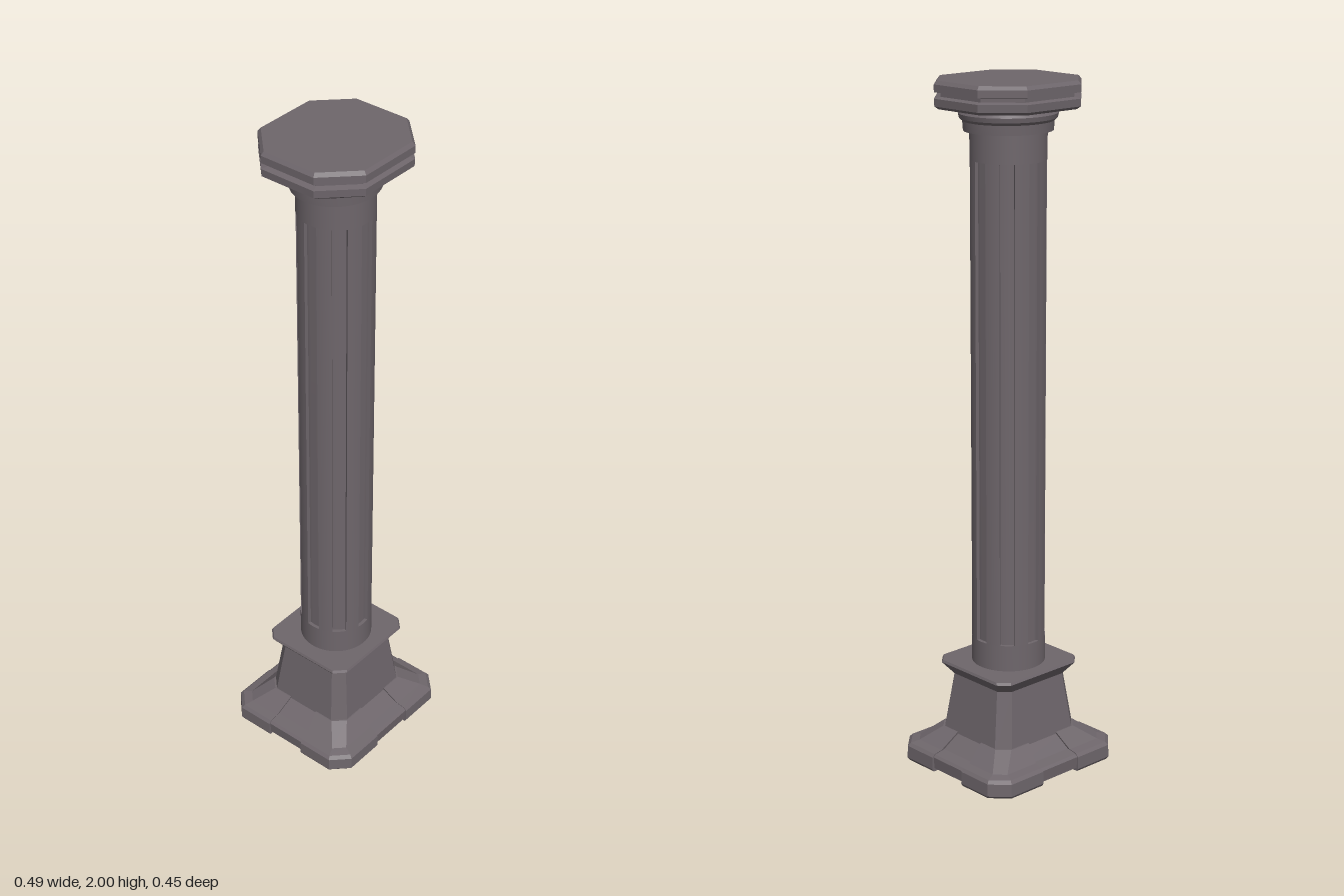
import * as THREE from 'three';
import { toCreasedNormals } from 'three/addons/utils/BufferGeometryUtils.js';

// Rectangle with cut corners, as [x, z] points
function cutRect(hx, hz, c) {
  return [[hx - c, hz], [hx, hz - c], [hx, c - hz], [hx - c, -hz],
    [c - hx, -hz], [-hx, c - hz], [-hx, hz - c], [c - hx, hz]];
}

// Closed, flat-faced solid through levels of [y, points]
function loft(levels) {
  const first = levels[0][1];
  const area = first.reduce((s, p, i) => {
    const q = first[(i + 1) % first.length];
    return s + p[1] * q[0] - p[0] * q[1];
  }, 0);
  const rings = levels.map(([y, pts]) => {
    const ring = pts.map(([x, z]) => new THREE.Vector3(x, y, z));
    return area < 0 ? ring.reverse() : ring;
  });
  const n = first.length, tris = [];
  const centre = (ring) => ring.reduce((s, p) => s.add(p), new THREE.Vector3()).divideScalar(n);
  const low = rings[0], high = rings[rings.length - 1];
  const lowMid = centre(low), highMid = centre(high);
  for (let i = 0; i < n; i++) {
    const j = (i + 1) % n;
    for (let k = 0; k < rings.length - 1; k++) {
      const a = rings[k], b = rings[k + 1];
      tris.push(a[i], a[j], b[j], a[i], b[j], b[i]);
    }
    tris.push(lowMid, low[j], low[i], highMid, high[i], high[j]);
  }
  const geometry = new THREE.BufferGeometry().setFromPoints(tris);
  geometry.computeVertexNormals();
  return geometry;
}

export function createModel() {
  const model = new THREE.Group();
  model.name = 'column';
  const stone = new THREE.MeshStandardMaterial({ color: 0x6e666b });
  stone.name = 'grey stone';
  const add = (name, geometry, parent = model) => {
    const mesh = new THREE.Mesh(geometry, stone);
    mesh.name = name;
    parent.add(mesh);
    return mesh;
  };

  // Plinth core, seen between the corner blocks
  add('plinth', loft([
    [0.01, cutRect(0.236, 0.217, 0.05)],
    [0.045, cutRect(0.239, 0.22, 0.05)],
    [0.052, cutRect(0.232, 0.213, 0.05)],
    [0.06, cutRect(0.2, 0.182, 0.05)],
    [0.1, cutRect(0.153, 0.142, 0.035)],
  ]));

  // Four proud corner blocks
  const corners = new THREE.Group();
  corners.name = 'cornerBlocks';
  model.add(corners);
  const blockLevels = [
    // y, half width, half depth, corner cut, inner x, inner z
    [0, 0.239, 0.219, 0.048, 0.07, 0.063],
    [0.008, 0.244, 0.224, 0.048, 0.07, 0.063],
    [0.045, 0.243, 0.223, 0.048, 0.07, 0.063],
    [0.054, 0.235, 0.215, 0.045, 0.07, 0.063],
    [0.06, 0.21, 0.19, 0.03, 0.068, 0.061],
    [0.104, 0.157, 0.146, 0.033, 0.055, 0.05],
  ];
  for (const sx of [-1, 1]) for (const sz of [-1, 1]) {
    add('cornerBlock', loft(blockLevels.map(([y, hx, hz, c, ix, iz]) => [y,
      [[ix, iz], [hx, iz], [hx, hz - c], [hx - c, hz], [ix, hz]]
        .map(([x, z]) => [x * sx, z * sz])])), corners);
  }

  // Tapered pedestal with a flared rim
  add('pedestal', loft([
    [0.09, cutRect(0.156, 0.145, 0.035)],
    [0.27, cutRect(0.13, 0.122, 0.03)],
    [0.305, cutRect(0.157, 0.148, 0.03)],
    [0.312, cutRect(0.154, 0.145, 0.03)],
  ]));

  // Plain shaft ends
  const R = 0.107;
  for (const [name, y0, y1] of [['shaftFoot', 0.3, 0.39], ['shaftTop', 1.78, 1.9]]) {
    add(name, new THREE.CylinderGeometry(R, R, y1 - y0, 64)).position.y = (y0 + y1) / 2;
  }

  // Fluted shaft: eight shallow grooves
  const outline = [];
  const step = Math.PI / 4, half = step / 4;
  for (let i = 0; i < 8; i++) {
    for (const [from, to, r] of [[-half, half, R - 0.01], [half, step - half, R]]) {
      for (let k = 0; k <= 4; k++) {
        const a = i * step + from + (to - from) * k / 4;
        outline.push(new THREE.Vector2(Math.cos(a) * r, Math.sin(a) * r));
      }
    }
  }
  const fluted = new THREE.ExtrudeGeometry(new THREE.Shape(outline), { depth: 1.39, bevelEnabled: false });
  fluted.rotateX(-Math.PI / 2).translate(0, 0.39, 0);
  add('flutedShaft', toCreasedNormals(fluted, 0.5));

  // Round neck under the capital
  const neck = new THREE.LatheGeometry([
    [0.1, 1.86], [0.127, 1.86], [0.129, 1.887], [0.138, 1.895],
    [0.141, 1.908], [0.134, 1.918], [0.132, 1.935],
  ].map(([r, y]) => new THREE.Vector2(r, y)), 48);
  add('neck', toCreasedNormals(neck, 0.5)).scale.z = 0.95;

  // Eight-sided capital with a groove round it
  const tier = (y, inset) => [y, cutRect(0.192 - inset, 0.18 - inset, 0.093 - inset * 0.58)];
  add('capital', loft([
    tier(1.923, 0.012), tier(1.931, 0.001), tier(1.952, 0), tier(1.956, 0.018),
    tier(1.966, 0.018), tier(1.969, 0), tier(1.99, 0), tier(2, 0.008),
  ]));

  return model;
}
